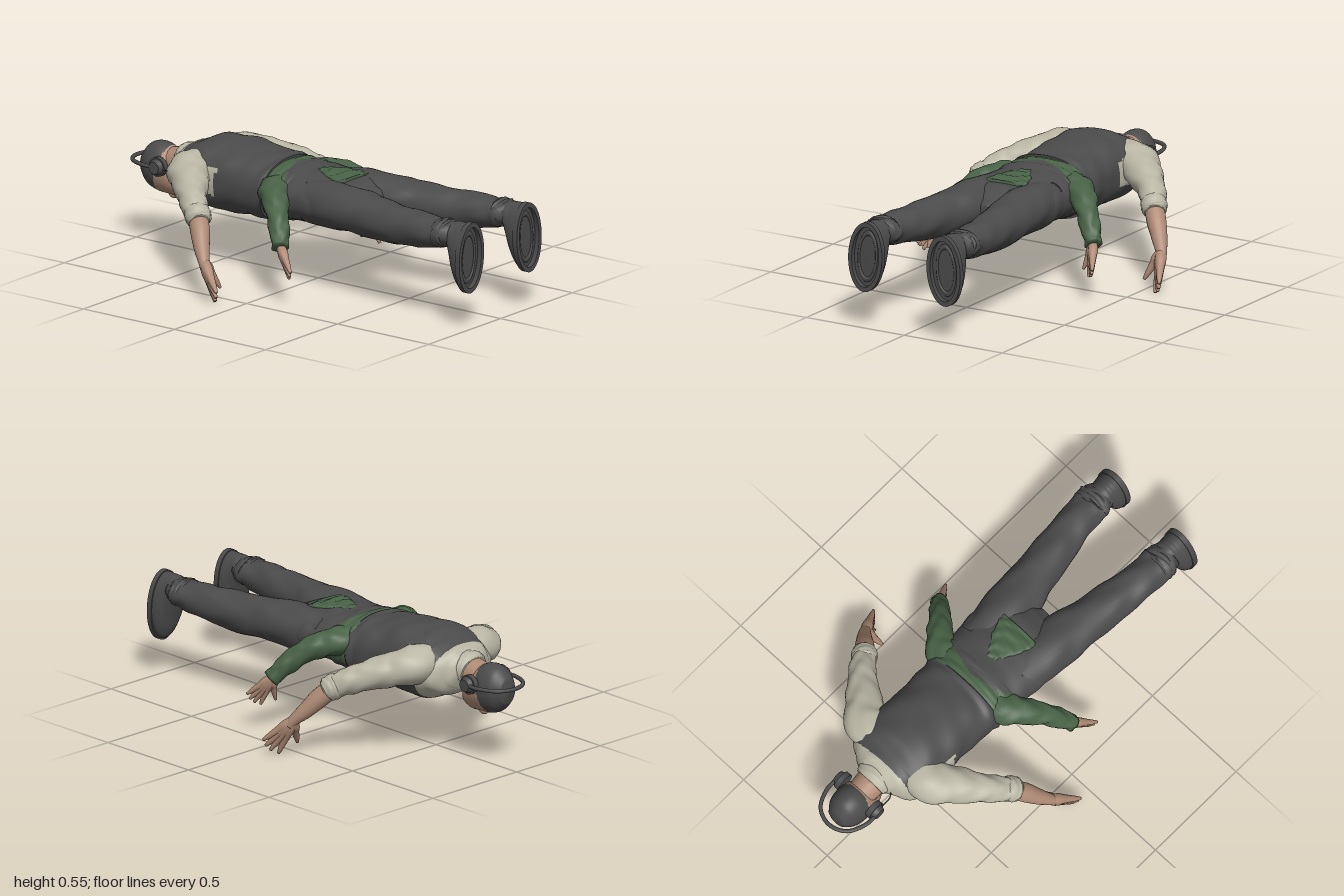
import * as THREE from 'three';

const mat = (name, color) => Object.assign(new THREE.MeshStandardMaterial({ color }), { name });
const V = (x, y, z) => new THREE.Vector3(x, y, z);

export function createModel() {
  const root = new THREE.Group();
  root.name = 'proneFigure';
  const dark = mat('charcoal', 0x4b4b4b);
  const cream = mat('creamShirt', 0xb9b6a4);
  const green = mat('greenJacket', 0x486246);
  const skin = mat('skin', 0xae8a75);

  const add = (name, geometry, material, parent = root) => {
    const mesh = new THREE.Mesh(geometry, material);
    mesh.name = name;
    parent.add(mesh);
    return mesh;
  };

  // Smooth closed body through stations [x, y, z, halfWidth, halfHeight].
  // pick(point) may choose a material index per face; fold adds cloth wrinkles;
  // axis keeps all sections parallel instead of following the path.
  function loft(stations, { rings = 24, sides = 20, square = 2, fold = 0, axis = null, pick = () => 0 } = {}) {
    const path = new THREE.CatmullRomCurve3(stations.map(s => V(s[0], s[1], s[2])), false, 'centripetal');
    const sizes = new THREE.CatmullRomCurve3(stations.map(s => V(s[3], s[4] ?? s[3], 0)), false, 'catmullrom', 0.4);
    const pos = [], up = V(0, 1, 0), pw = 2 / square;
    for (let i = 0; i <= rings; i++) {
      const t = i / rings, c = path.getPoint(t), r = sizes.getPoint(t), dir = axis ?? path.getTangent(t);
      const side = V().crossVectors(up, dir).normalize(), top = V().crossVectors(dir, side);
      for (let j = 0; j < sides; j++) {
        const a = j / sides * Math.PI * 2, ca = Math.cos(a), sa = Math.sin(a);
        const w = fold * (Math.sin(t * 23 + 3 * Math.sin(a * 2 + 1)) + 0.6 * Math.sin(t * 41 + a * 3));
        const p = c.clone()
          .addScaledVector(side, Math.sign(ca) * Math.abs(ca) ** pw * (r.x + w))
          .addScaledVector(top, Math.sign(sa) * Math.abs(sa) ** pw * (r.y + w));
        pos.push(p.x, p.y, p.z);
      }
    }
    const first = path.getPoint(0), last = path.getPoint(1), n = (rings + 1) * sides;
    pos.push(first.x, first.y, first.z, last.x, last.y, last.z);
    const lists = [[], []];
    const face = (...ids) => {
      const m = V();
      ids.forEach(k => m.add(V(pos[k * 3], pos[k * 3 + 1], pos[k * 3 + 2])));
      const list = lists[pick(m.divideScalar(ids.length))];
      list.push(ids[0], ids[1], ids[2]);
      if (ids.length === 4) list.push(ids[0], ids[2], ids[3]);
    };
    for (let j = 0; j < sides; j++) {
      const k = (j + 1) % sides;
      for (let i = 0; i < rings; i++)
        face(i * sides + j, i * sides + k, (i + 1) * sides + k, (i + 1) * sides + j);
      face(n, k, j);
      face(n + 1, rings * sides + j, rings * sides + k);
    }
    const g = new THREE.BufferGeometry();
    g.setAttribute('position', new THREE.Float32BufferAttribute(pos, 3));
    g.setIndex(lists.flat());
    let start = 0;
    lists.forEach((l, i) => { if (l.length) g.addGroup(start, l.length, i); start += l.length; });
    g.computeVertexNormals();
    return g;
  }

  // Upper body: waistcoat over shirt, with a V opening on the chest
  const vest = p => {
    const x = Math.abs(p.x);
    if (p.y > 0.45) return p.z > -0.655 && x < 0.19 - Math.max(0, -p.z - 0.6) * 0.5 || p.z > -0.4 ? 0 : 1;
    if (p.y > 0.34) return p.z > -0.42 ? 0 : 1;
    return p.z > -0.57 && x > (-0.37 - p.z) * 0.6 ? 0 : 1;
  };
  add('waistcoatAndShirt', loft([
    [0, 0.415, -0.715, 0.085, 0.06], [0, 0.41, -0.68, 0.14, 0.09], [0, 0.4, -0.63, 0.195, 0.122],
    [0, 0.395, -0.54, 0.205, 0.152], [0, 0.395, -0.42, 0.2, 0.157], [0, 0.39, -0.3, 0.197, 0.147],
    [0, 0.385, -0.2, 0.203, 0.141], [0, 0.383, -0.15, 0.211, 0.137],
  ], { rings: 110, sides: 96, square: 2.35, fold: 0.0025, pick: vest }), [dark, cream]);
  add('collar', loft([[0, 0.4, -0.735, 0.075, 0.065], [0, 0.405, -0.71, 0.088, 0.078],
    [0, 0.405, -0.67, 0.1, 0.07]], { fold: 0.001 }), cream);

  // Hips, the jacket gathered round the back of the waist, and its tail on the seat
  add('hips', loft([
    [0, 0.385, -0.17, 0.19, 0.115], [0, 0.39, -0.08, 0.207, 0.119], [0, 0.39, 0.02, 0.215, 0.113],
    [0, 0.392, 0.12, 0.222, 0.104], [0, 0.392, 0.22, 0.2, 0.092], [0, 0.39, 0.3, 0.11, 0.065],
    [0, 0.39, 0.35, 0.03, 0.03],
  ], { rings: 60, sides: 56, square: 2.3, fold: 0.0015 }), dark);
  const gather = p => (p.y > 0.33 && p.z < -0.11 + Math.abs(p.x) * 0.35 ? 1 : 0);
  add('jacketWaist', loft([[0, 0.387, -0.19, 0.19, 0.115], [0, 0.387, -0.15, 0.207, 0.13],
    [0, 0.388, -0.1, 0.213, 0.126], [0, 0.39, -0.04, 0.216, 0.117], [0, 0.39, 0.0, 0.2, 0.1]],
    { rings: 48, sides: 64, square: 2.3, fold: 0.002, pick: gather }), [dark, green]);
  add('jacketTail', loft([[0, 0.492, 0.0, 0.02, 0.008], [0, 0.493, 0.04, 0.04, 0.013],
    [0, 0.492, 0.1, 0.072, 0.015], [0, 0.489, 0.16, 0.094, 0.014], [0, 0.485, 0.2, 0.102, 0.009]],
    { rings: 32, sides: 32, square: 2.8, fold: 0.0025, axis: V(0, 0, 1) }), green);

  // One hand: each finger runs from the wrist over its knuckle, so the roots merge into a palm
  function hand(name, s, wrist, tips, k) {
    const g = new THREE.Group();
    g.name = name;
    const w = V(...wrist);
    tips.forEach((tip, i) => {
      const e = V(...tip), m = w.clone().lerp(e, i ? 0.5 : 0.45), q = w.clone().lerp(e, 0.25);
      const r = [0.023, 0.025, 0.0185, 0.0125, 0.007];
      const pts = [w, q, m, m.clone().lerp(e, 0.6), e];
      add(i ? 'finger' : 'thumb', loft(pts.map((p, n) => [p.x * s, p.y, p.z, r[n] * k]),
        { rings: 14, sides: 12 }), skin, g);
    });
    root.add(g);
  }

  for (const s of [1, -1]) {
    const side = s > 0 ? 'left' : 'right';
    const mir = list => list.map(([x, ...rest]) => [x * s, ...rest]);

    // Shirt sleeve, rolled cuff and bare forearm
    add(side + 'ShirtSleeve', loft(mir([
      [0.08, 0.43, -0.56, 0.09, 0.08], [0.19, 0.427, -0.555, 0.098, 0.084], [0.27, 0.407, -0.49, 0.083, 0.074],
      [0.35, 0.38, -0.42, 0.065], [0.405, 0.352, -0.36, 0.057], [0.442, 0.322, -0.31, 0.052],
    ]), { rings: 36, sides: 28, fold: 0.0025 }), cream);
    add(side + 'RolledCuff', loft(mir([[0.42, 0.342, -0.338, 0.048], [0.43, 0.334, -0.326, 0.057],
      [0.45, 0.316, -0.3, 0.055], [0.458, 0.308, -0.29, 0.044]]), { fold: 0.0015 }), cream);
    add(side + 'Forearm', loft(mir([[0.43, 0.335, -0.325, 0.042], [0.478, 0.275, -0.272, 0.043],
      [0.52, 0.218, -0.23, 0.035], [0.555, 0.17, -0.19, 0.025], [0.565, 0.145, -0.175, 0.022]])), skin);
    hand(side + 'Hand', s, [0.555, 0.168, -0.188],
      [[0.492, 0.047, -0.15], [0.572, 0.007, -0.115], [0.598, 0.022, -0.092],
        [0.612, 0.042, -0.078], [0.62, 0.068, -0.07]], 1);

    // Second pair of arms in jacket sleeves at the waist
    add(side + 'JacketSleeve', loft(mir([
      [0.1, 0.42, -0.12, 0.07, 0.06], [0.185, 0.42, -0.09, 0.075, 0.062], [0.245, 0.407, -0.045, 0.06, 0.056],
      [0.305, 0.367, 0.015, 0.05], [0.36, 0.305, 0.07, 0.043], [0.4, 0.25, 0.108, 0.037],
    ]), { rings: 36, sides: 28, fold: 0.0028 }), green);
    hand(side + 'LowerHand', s, [0.397, 0.252, 0.108],
      [[0.358, 0.14, 0.125], [0.41, 0.122, 0.165], [0.432, 0.132, 0.182],
        [0.445, 0.147, 0.195], [0.453, 0.168, 0.205]], 0.85);

    // Trouser leg with bunched hem
    add(side + 'TrouserLeg', loft(mir([
      [0.115, 0.39, 0.05, 0.095, 0.095], [0.123, 0.393, 0.18, 0.108, 0.1], [0.132, 0.395, 0.32, 0.111, 0.095],
      [0.153, 0.39, 0.45, 0.098, 0.09], [0.173, 0.39, 0.6, 0.088, 0.085], [0.19, 0.398, 0.72, 0.083, 0.076],
      [0.197, 0.403, 0.82, 0.08, 0.064], [0.198, 0.41, 0.865, 0.084, 0.058], [0.197, 0.412, 0.91, 0.064, 0.05],
    ]), { rings: 56, sides: 32, fold: 0.0025 }), dark);
    add(side + 'TrouserHem', loft(mir([[0.198, 0.408, 0.83, 0.07, 0.055], [0.2, 0.41, 0.85, 0.084, 0.062],
      [0.198, 0.413, 0.875, 0.078, 0.056], [0.198, 0.415, 0.9, 0.06, 0.045]]), { fold: 0.003 }), dark);

    // Shoe, toes pointing down and slightly outward, with a hollowed sole
    const shoe = new THREE.Group();
    shoe.name = side + 'Shoe';
    shoe.position.set(0.2 * s, 0.322, 0);
    shoe.rotation.z = 0.06 * s;
    root.add(shoe);
    add('shoeUpper', loft([
      [0, 0.092, 0.88, 0.055, 0.045], [0, 0.088, 0.9, 0.062, 0.058], [0, 0.06, 0.918, 0.068, 0.09],
      [0, 0.024, 0.938, 0.075, 0.127], [0, 0.006, 0.958, 0.08, 0.146], [0, 0, 0.978, 0.081, 0.152],
    ], { rings: 24, sides: 36, axis: V(0, 0, 1) }), dark, shoe);
    const outline = new THREE.Shape().absellipse(0, 0, 0.086, 0.157, 0, Math.PI * 2);
    outline.holes.push(new THREE.Path().absellipse(0, 0, 0.068, 0.135, 0, Math.PI * 2, true));
    add('soleRim', new THREE.ExtrudeGeometry(outline, { depth: 0.025, bevelEnabled: false, curveSegments: 32 }),
      dark, shoe).position.z = 0.975;
    const tread = add('soleTread', new THREE.TorusGeometry(0.05, 0.006, 8, 40), dark, shoe);
    tread.scale.set(0.9, 2.1, 1);
    tread.position.z = 0.979;

    // Earcup
    const cup = new THREE.Group();
    cup.name = side + 'Earcup';
    cup.position.set(0.102 * s, 0.378, -0.805);
    cup.rotation.z = -Math.PI / 2 * s;
    root.add(cup);
    add('earPad', new THREE.CylinderGeometry(0.043, 0.043, 0.025, 28), dark, cup).position.y = -0.008;
    add('earShell', new THREE.CylinderGeometry(0.027, 0.037, 0.022, 28), dark, cup).position.y = 0.014;
  }

  // Neck, then head with a close cap over the crown
  add('neck', loft([[0, 0.37, -0.83, 0.06, 0.07], [0, 0.388, -0.76, 0.066, 0.066],
    [0, 0.405, -0.66, 0.078, 0.07]]), skin);
  const cap = p => (p.z < -0.86 + (p.y - 0.25) * 0.27 ? 0 : 1);
  add('headAndCap', loft([
    [0, 0.355, -0.956, 0.008, 0.01], [0, 0.355, -0.943, 0.046, 0.058], [0, 0.355, -0.9, 0.077, 0.1],
    [0, 0.352, -0.85, 0.086, 0.112], [0, 0.342, -0.8, 0.082, 0.105], [0, 0.316, -0.75, 0.068, 0.08],
    [0, 0.3, -0.715, 0.05, 0.052], [0, 0.295, -0.7, 0.024, 0.025],
  ], { rings: 64, sides: 48, axis: V(0, 0, 1), pick: cap }), [dark, skin]);
  const blob = (name, x, y, z, a, b, c) => {
    const m = add(name, new THREE.SphereGeometry(1, 16, 12), skin);
    m.position.set(x, y, z);
    m.scale.set(a, b, c);
  };
  blob('nose', 0, 0.236, -0.795, 0.013, 0.018, 0.026);
  blob('lips', 0, 0.24, -0.755, 0.022, 0.007, 0.01);
  blob('chin', 0, 0.257, -0.728, 0.028, 0.014, 0.018);

  // Headset band and cable
  const tube = (name, pts, r) => add(name, new THREE.TubeGeometry(
    new THREE.CatmullRomCurve3(pts.map(p => V(...p))), 48, r, 10), dark);
  tube('headband', [[-0.112, 0.38, -0.79], [-0.118, 0.38, -0.87], [-0.078, 0.38, -0.96], [0, 0.38, -0.991],
    [0.078, 0.38, -0.96], [0.118, 0.38, -0.87], [0.112, 0.38, -0.79]], 0.009);
  tube('headsetCable', [[-0.105, 0.37, -0.77], [-0.105, 0.38, -0.72], [-0.08, 0.43, -0.69], [-0.07, 0.47, -0.675]], 0.003);

  return root;
}
